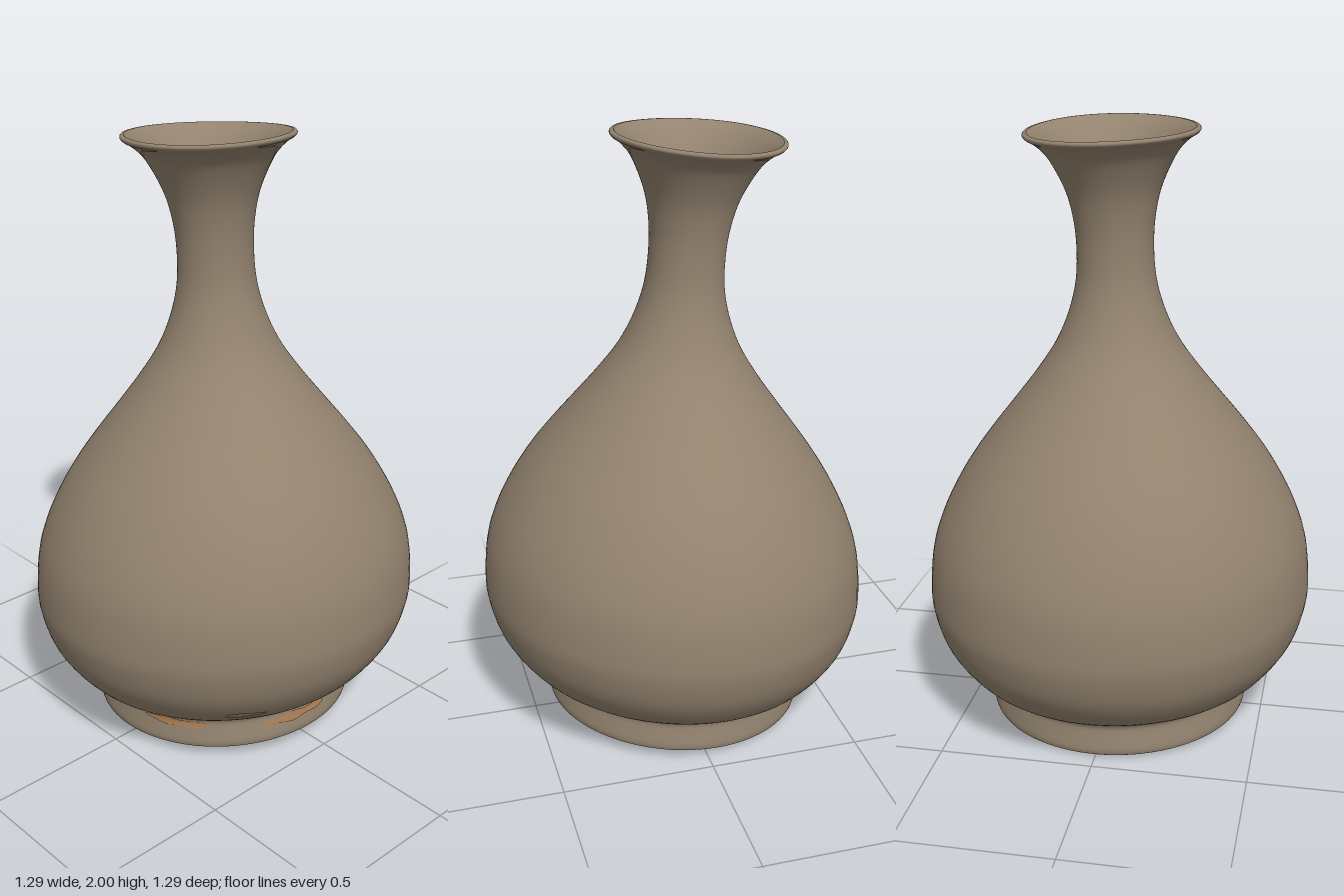
import * as THREE from 'three';

const mat = (name, color, side = THREE.FrontSide) => {
  const m = new THREE.MeshStandardMaterial({ color, side });
  m.name = name;
  return m;
};
const vec = (pts) => pts.map(([r, y]) => new THREE.Vector2(r, y));
const smooth = (pts, n) => new THREE.SplineCurve(vec(pts)).getPoints(n);

// Hand-thrown lean: the neck drifts backwards, foot and lip planes tilt slightly
function lean(geometry) {
  const p = geometry.attributes.position;
  for (let i = 0; i < p.count; i++) {
    const x = p.getX(i), y = p.getY(i), z = p.getZ(i);
    const up = Math.max(0, y - 0.5);
    const wave = 0.003 * Math.sin(2 * Math.atan2(x, z) + 0.6);
    p.setXYZ(
      i,
      x + 0.005 * up * up,
      y + z * (0.05 + 0.01 * y) - 0.013 * x * y + wave,
      z - 0.037 * up * up
    );
  }
  return geometry;
}

export function createModel() {
  const glaze = mat('glaze', 0x93836f);
  const clay = mat('bareClay', 0xad7f55);
  const baseClay = mat('baseClay', 0x8b6b4f);
  const dark = mat('darkInterior', 0x0a0a0a);

  const group = new THREE.Group();
  group.name = 'vase';
  const add = (name, geometry, material) => {
    const mesh = new THREE.Mesh(geometry, material);
    mesh.name = name;
    group.add(mesh);
  };
  const turn = (name, points, material) =>
    add(name, lean(new THREE.LatheGeometry(points, 96)), material);

  // Outer wall from the shoulder of the foot up to the lip
  const body = smooth([
    [0.435, 0.135], [0.462, 0.155], [0.535, 0.205], [0.605, 0.3], [0.638, 0.4],
    [0.644, 0.48], [0.632, 0.6], [0.602, 0.7], [0.555, 0.8], [0.495, 0.9],
    [0.422, 1.0], [0.343, 1.1], [0.266, 1.2], [0.2, 1.3], [0.156, 1.4],
    [0.13, 1.5], [0.123, 1.6], [0.129, 1.7], [0.152, 1.8], [0.2, 1.9],
    [0.24, 1.945], [0.268, 1.963]
  ], 110);
  turn('body', body, glaze);

  // Rounded lip and flared throat
  turn('lip', smooth([[0.268, 1.963], [0.275, 1.971], [0.273, 1.979], [0.262, 1.981]], 10), glaze);
  turn('throat', smooth([
    [0.262, 1.981], [0.225, 1.95], [0.18, 1.89], [0.132, 1.8],
    [0.107, 1.7], [0.097, 1.6], [0.097, 1.55]
  ], 30), glaze);
  turn('throatShadow', vec([[0.098, 1.56], [0, 1.56]]), dark);

  // Foot ring with a bare underside and recessed base
  const foot = smooth([[0.437, 0.032], [0.44, 0.05], [0.434, 0.09], [0.43, 0.12], [0.435, 0.135]], 14);
  turn('foot', foot, glaze);
  turn('footRim', smooth([
    [0.365, 0.1], [0.385, 0.08], [0.398, 0.045], [0.41, 0.028], [0.425, 0.025], [0.437, 0.032]
  ], 20), clay);
  turn('base', vec([[0, 0.1], [0.2, 0.1], [0.365, 0.1]]), baseClay);

  // Small bare patches that follow the wall
  const wall = [...foot, ...body.slice(1)];
  const radiusAt = (y) => {
    const i = Math.max(1, wall.findIndex((q) => q.y >= y));
    const a = wall[i - 1], b = wall[i];
    return a.x + ((b.x - a.x) * (y - a.y)) / (b.y - a.y);
  };
  const patch = (y0, half, from, to) => {
    const g = new THREE.LatheGeometry(vec([[1, -1], [1, -0.5], [1, 0], [1, 0.5], [1, 1]]), 24, from, to - from);
    const p = g.attributes.position;
    for (let i = 0; i < p.count; i++) {
      const a = Math.atan2(p.getX(i), p.getZ(i));
      const u = (2 * (a - from)) / (to - from) - 1;
      const taper = Math.sqrt(Math.max(0, 1 - u * u)) * (0.8 + 0.2 * Math.sin(a * 25));
      const y = y0 + p.getY(i) * half * taper;
      const r = radiusAt(y) + 0.004;
      p.setXYZ(i, r * Math.sin(a), y, r * Math.cos(a));
    }
    lean(g).computeVertexNormals();
    add('barePatch', g, clay);
  };
  patch(0.115, 0.016, -1.4, -0.85);
  patch(0.1, 0.018, -0.45, 0.14);
  patch(0.24, 0.018, -0.74, -0.5);
  patch(0.175, 0.014, 0.53, 0.67);

  return group;
}
